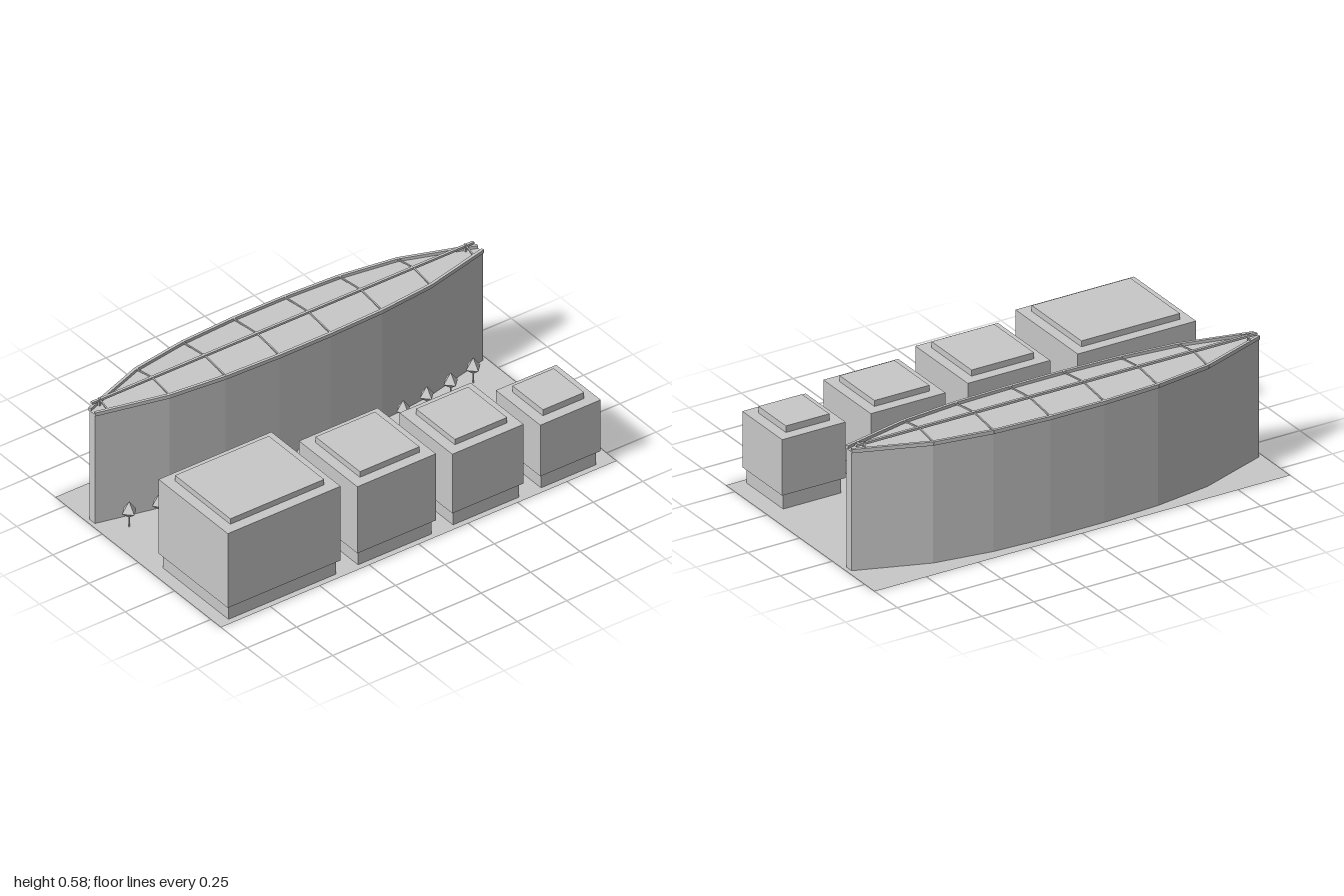
import * as THREE from 'three';

const concrete = new THREE.MeshStandardMaterial({ color: 0xc8c8c8, flatShading: true, side: THREE.DoubleSide });
concrete.name = 'concrete grey';

function add(parent, geometry, name) {
  const mesh = new THREE.Mesh(geometry, concrete);
  mesh.name = name;
  parent.add(mesh);
  return mesh;
}

// Box given by its limits
function block(parent, name, x0, x1, y0, y1, z0, z1) {
  const mesh = add(parent, new THREE.BoxGeometry(x1 - x0, y1 - y0, z1 - z0), name);
  mesh.position.set((x0 + x1) / 2, (y0 + y1) / 2, (z0 + z1) / 2);
}

// Square bar between two points
function bar(parent, name, a, b, width, height) {
  const p = new THREE.Vector3(...a), q = new THREE.Vector3(...b);
  const mesh = add(parent, new THREE.BoxGeometry(width, height, p.distanceTo(q)), name);
  mesh.position.copy(p).add(q).multiplyScalar(0.5);
  mesh.lookAt(q);
}

function createSlab() {
  const slab = new THREE.Group();
  slab.name = 'curvedSlabBuilding';
  const xs = [-0.98, -0.66, -0.395, -0.13, 0.13, 0.395, 0.66, 0.98];
  const front = [-0.328, -0.252, -0.225, -0.216, -0.216, -0.225, -0.252, -0.328];
  const back = [-0.365, -0.482, -0.523, -0.537, -0.537, -0.523, -0.482, -0.365];

  // Faceted lens-shaped body
  const outline = new THREE.Shape();
  xs.forEach((x, i) => (i ? outline.lineTo(x, -front[i]) : outline.moveTo(x, -front[i])));
  for (let i = xs.length - 1; i >= 0; i--) outline.lineTo(xs[i], -back[i]);
  outline.closePath();
  const body = new THREE.ExtrudeGeometry(outline, { depth: 0.542, bevelEnabled: false });
  body.rotateX(-Math.PI / 2);
  add(slab, body, 'slabBody');

  // Roof rim along both curved edges
  for (const side of [front, back]) {
    for (let i = 0; i < xs.length - 1; i++) {
      bar(slab, 'roofRim', [xs[i], 0.547, side[i]], [xs[i + 1], 0.547, side[i + 1]], 0.013, 0.017);
    }
  }

  // Ridge rail and sloping ribs
  const ridgeZ = -0.372;
  bar(slab, 'ridgeRail', [-0.965, 0.57, ridgeZ], [0.965, 0.57, ridgeZ], 0.012, 0.01);
  xs.forEach((x, i) => {
    const end = i === 0 || i === xs.length - 1;
    const rx = end ? Math.sign(x) * 0.925 : x;
    const zf = end ? -0.315 : front[i], zb = end ? -0.385 : back[i];
    bar(slab, 'roofRib', [rx, 0.552, zf], [rx, 0.571, ridgeZ], 0.006, 0.006);
    bar(slab, 'roofRib', [rx, 0.552, zb], [rx, 0.571, ridgeZ], 0.006, 0.006);
    if (end) block(slab, 'ridgePost', rx - 0.004, rx + 0.004, 0.54, 0.578, ridgeZ - 0.005, ridgeZ + 0.005);
  });
  return slab;
}

function createTree(x, z) {
  const tree = new THREE.Group();
  tree.name = 'tree';
  const s = 1 + 0.2 * Math.abs(x);
  const trunk = add(tree, new THREE.CylinderGeometry(0.003, 0.003, 0.045, 4), 'trunk');
  trunk.position.y = 0.0225;
  const upper = add(tree, new THREE.ConeGeometry(0.031, 0.042, 4), 'crownTop');
  upper.position.y = 0.085;
  const lower = add(tree, new THREE.ConeGeometry(0.031, 0.026, 4), 'crownBottom');
  lower.rotation.x = Math.PI;
  lower.position.y = 0.051;
  tree.scale.setScalar(s);
  tree.position.set(x, 0, z);
  return tree;
}

export function createModel() {
  const model = new THREE.Group();
  model.name = 'cityBlock';

  // Ground sheet
  const ground = add(model, new THREE.PlaneGeometry(2, 1.145), 'ground');
  ground.rotation.x = -Math.PI / 2;
  ground.position.set(0, 0, -0.0025);

  model.add(createSlab());

  // Four stepped blocks: x limits, back z, body top, roof top
  const blocks = [
    [-0.955, -0.385, 0.077, 0.44, 0.467],
    [-0.3, 0.097, 0.152, 0.402, 0.43],
    [0.18, 0.54, 0.19, 0.365, 0.392],
    [0.625, 0.93, 0.248, 0.325, 0.355],
  ];
  for (const [x0, x1, z0, top, roof] of blocks) {
    const g = new THREE.Group();
    g.name = 'steppedBlock';
    const z1 = 0.555;
    block(g, 'blockBase', x0 + 0.013, x1 - 0.013, 0, 0.07, z0 + 0.013, z1 - 0.013);
    block(g, 'blockBody', x0, x1, 0.07, top, z0, z1);
    block(g, 'blockRoof', x0 + 0.048, x1 - 0.048, top, roof, z0 + 0.048, z1 - 0.048);
    model.add(g);
  }

  // Row of trees following the curved front
  const treeZ = [-0.229, -0.204, -0.179, -0.16, -0.157, -0.155, -0.147, -0.14, -0.15, -0.152, -0.16, -0.18, -0.197, -0.224];
  treeZ.forEach((z, i) => model.add(createTree(-0.88 + i * 0.1335, z)));
  return model;
}
